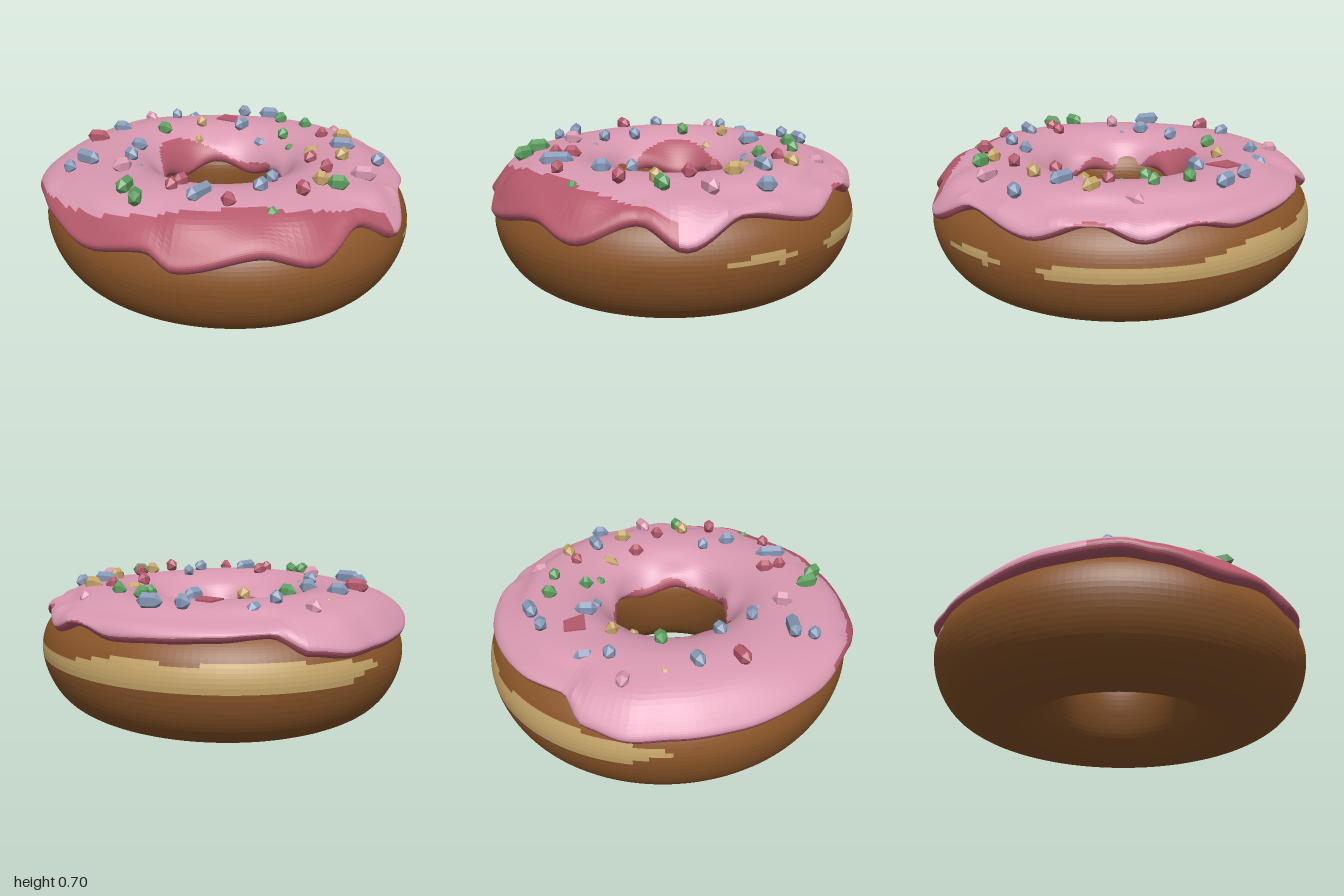
import * as THREE from 'three';

const mat = (name, color) => {
  const m = new THREE.MeshStandardMaterial({ color, side: THREE.DoubleSide });
  m.name = name;
  return m;
};
const RAD = Math.PI / 180;

// Icing rim by compass angle: [degrees, drip height, rim radius, radius where dark glaze begins]
const RIM = [
  [-180, 0.46, 0.945, 0.91], [-170, 0.49, 0.94, 0.93], [-150, 0.46, 0.955, 0.95], [-125, 0.43, 0.955, 0.96],
  [-108, 0.43, 0.97, 0.97], [-96, 0.43, 1.0, 1.0], [-85, 0.45, 0.98, 0.98], [-75, 0.52, 0.9, 0.95],
  [-60, 0.51, 0.92, 0.95], [-45, 0.5, 0.915, 0.95], [-30, 0.49, 0.915, 0.95], [-16, 0.53, 0.905, 0.95],
  [-2, 0.47, 0.915, 0.95], [12, 0.54, 0.89, 0.95], [30, 0.46, 0.93, 0.95], [52, 0.52, 0.91, 0.95],
  [69, 0.415, 1.0, 0.95], [81, 0.5, 0.925, 0.87], [98, 0.41, 0.995, 0.83], [112, 0.46, 0.955, 0.75],
  [134, 0.4, 0.975, 0.8], [143, 0.455, 0.935, 0.83], [162, 0.41, 0.955, 0.88], [180, 0.46, 0.945, 0.91],
];

function rimAt(a) {
  const d = ((a / RAD + 540) % 360) - 180;
  const i = Math.max(1, RIM.findIndex((row) => row[0] >= d));
  const p = RIM[i - 1], q = RIM[i];
  const t = THREE.MathUtils.smoothstep(d, p[0], q[0]);
  return [1, 2, 3].map((k) => p[k] + (q[k] - p[k]) * t);
}

// Sweeps a changing [radius, height] section round the ring; pick() chooses a material per face
function sweep(name, materials, section, closed, place, pick, segs = 168, steps = 64) {
  const rings = [];
  for (let i = 0; i <= segs; i++) {
    const a = ((i % segs) / segs) * 2 * Math.PI - Math.PI;
    const pts = section(a).map(([r, y]) => new THREE.Vector3(r, y, 0));
    rings.push(new THREE.CatmullRomCurve3(pts, closed, 'centripetal').getPoints(steps)
      .map((p) => ({ r: p.x, y: p.y, v: place(a, p.x, p.y) })));
  }
  const lists = materials.map(() => []);
  for (let i = 0; i < segs; i++) {
    const a = ((i + 0.5) / segs) * 2 * Math.PI - Math.PI;
    for (let j = 0; j < steps; j++) {
      const A = rings[i][j], B = rings[i + 1][j], C = rings[i + 1][j + 1], D = rings[i][j + 1];
      const r = (A.r + B.r + C.r + D.r) / 4, y = (A.y + B.y + C.y + D.y) / 4;
      lists[pick(a, r, y, j / steps)].push(...[A, B, D, B, C, D].flatMap((p) => p.v));
    }
  }
  const geo = new THREE.BufferGeometry();
  let start = 0;
  lists.forEach((list, k) => {
    geo.addGroup(start, list.length / 3, k);
    start += list.length / 3;
  });
  geo.setAttribute('position', new THREE.Float32BufferAttribute(lists.flat(), 3));
  geo.computeVertexNormals();
  const mesh = new THREE.Mesh(geo, materials);
  mesh.name = name;
  return mesh;
}

// Height of the icing surface at a radius
const CROWN = [[0.3, 0.5], [0.39, 0.585], [0.48, 0.63], [0.6, 0.645], [0.72, 0.635], [0.83, 0.595], [0.95, 0.5]];
function crown(r) {
  const i = Math.max(1, CROWN.findIndex((p) => p[0] >= r));
  const [p, q] = [CROWN[i - 1], CROWN[i]];
  return p[1] + ((q[1] - p[1]) * (r - p[0])) / (q[0] - p[0]);
}

// Sprinkles per colour: [x, z, length, heading in degrees, lift]
const SPRINKLES = {
  blue: [[-0.31, -0.6, 0.11, 45], [0.08, -0.67, 0.08, 90], [0.2, -0.68, 0.11, -30, -0.02], [0.48, -0.54, 0.09, 60],
    [0.59, -0.43, 0.13, 45], [0.33, -0.34, 0.12, -20], [-0.77, -0.2, 0.08, 60], [-0.67, -0.21, 0.16, 70],
    [-0.46, -0.15, 0.1, 80], [-0.34, -0.31, 0.1, 50], [-0.43, 0.5, 0.17, -22], [-0.16, 0.58, 0.1, -25],
    [-0.04, 0.5, 0.08, -70], [0.54, 0.31, 0.14, 50], [0.6, 0.52, 0.1, -20], [-0.47, -0.04, 0.08, 0, -0.03],
    [0.35, -0.18, 0.1, 80, -0.025]],
  green: [[-0.1, -0.48, 0.1, 60], [0.56, -0.27, 0.09, 0], [0.44, -0.08, 0.08, -20], [0.61, -0.1, 0.08, 45],
    [0.41, 0.03, 0.06, 60, -0.02], [-0.67, 0.24, 0.13, -40], [-0.68, 0.37, 0.12, -60, 0.03],
    [-0.22, 0.76, 0.08, -15, -0.01], [0.18, 0.71, 0.11, 45]],
  darkGlaze: [[-0.49, -0.51, 0.13, 45], [0.57, 0.1, 0.08, 20], [0.31, 0.34, 0.09, -20], [-0.5, 0.37, 0.08, -30],
    [-0.43, 0.33, 0.1, -15], [0.25, 0.54, 0.08, 0], [-0.02, 0.71, 0.09, 80, 0.03], [-0.36, 0.63, 0.08, 60]],
  cream: [[-0.19, -0.7, 0.08, -20, -0.025], [0.14, -0.48, 0.07, -40], [0.07, -0.39, 0.07, 30, -0.02],
    [0.42, 0.21, 0.11, 10, -0.015], [0.65, 0.18, 0.11, 50], [0.43, 0.44, 0.1, -20], [0.13, 0.65, 0.09, 45]],
  pink: [[-0.03, -0.8, 0.1, 80], [-0.58, 0.01, 0.11, -5], [0.38, 0.66, 0.13, 45], [0.74, 0, 0.11, -45, -0.01]],
};

export function createModel() {
  const mats = {
    dough: mat('dough brown', 0x8a5529),
    cream: mat('pale cream', 0xc4a468),
    pink: mat('pink icing', 0xd898b0),
    darkGlaze: mat('dark pink glaze', 0xb55a6c),
    blue: mat('sprinkle blue', 0x8598b5),
    green: mat('sprinkle green', 0x5d9f60),
  };
  const group = new THREE.Group();
  group.name = 'donut';

  // Dough ring with a pale unfried band on its outer side
  const doughProfile = [[0.32, 0.36], [0.335, 0.46], [0.42, 0.55], [0.6, 0.6], [0.76, 0.585], [0.86, 0.55], [0.93, 0.5],
    [0.975, 0.44], [1, 0.34], [0.965, 0.2], [0.885, 0.09], [0.75, 0.02], [0.6, 0.002], [0.5, 0.03], [0.405, 0.1], [0.345, 0.22]];
  group.add(sweep('dough', [mats.dough, mats.cream], () => doughProfile, true,
    (a, r, y) => [0.01 + 0.93 * r * Math.cos(a), y, 0.985 * r * Math.sin(a)],
    (a, r, y) => {
      if (r < 0.8) return 0;
      const d = a / RAD, wob = 0.006 * Math.sin(a * 9);
      const s = THREE.MathUtils.smoothstep;
      const back = 1 - s(d, -40, -5);
      const band = (0.036 + 0.026 * back) * s(d, -114, -90) * (1 - s(d, 16, 30));
      const spot = 0.024 * s(d, 36, 41) * (1 - s(d, 50, 58));
      return Math.abs(y - 0.348 - 0.025 * back - wob) < Math.max(band, spot) ? 1 : 0;
    }, 168, 80));

  // Icing with a wavy, dripping rim inside and out
  group.add(sweep('icing', [mats.pink, mats.darkGlaze], (a) => {
    const [e, R] = rimAt(a);
    const yi = 0.435 + 0.025 * Math.sin(5 * a + 1), ri = 0.3 + 0.012 * Math.sin(4 * a);
    const lump = 0.006 * Math.sin(3 * a + 1);
    return [[0.38, yi + 0.02], [ri + 0.02, yi], [ri, yi + 0.03], [ri + 0.02, yi + 0.08], [0.39, 0.585], [0.48, 0.63],
      [0.6, 0.647 + lump], [0.72, 0.635 + lump], [R * 0.88, 0.597], [R - 0.025, Math.min(e + 0.08, 0.57)],
      [R, Math.min(e + 0.035, 0.55)], [R - 0.025, e], [R - 0.1, e + 0.02]];
  }, false,
  (a, r, y) => [r * Math.cos(a), y, r * Math.sin(a)],
  (a, r, y, t) => {
    const [e, , dark] = rimAt(a);
    if (t > 0.5) return r > dark && dark < 0.94 || t > 0.7 && y < e + 0.028 ? 1 : 0;
    const back = Math.exp(-(((a / RAD + 105) / 32) ** 2));
    return r < 0.3 + 0.12 * back || y < 0.475 ? 1 : 0;
  }));

  // Dark glaze spot on the crown
  const kite = new THREE.Shape([[0, -0.09], [0.07, 0], [0.03, 0.08], [-0.06, 0.03]].map((p) => new THREE.Vector2(...p)));
  const spot = new THREE.Mesh(new THREE.ExtrudeGeometry(kite, { depth: 0.008, bevelEnabled: false }), mats.darkGlaze);
  spot.name = 'glazeSpot';
  spot.rotation.x = -Math.PI / 2;
  spot.position.set(0.32, crown(0.58) + 0.001, -0.48);
  group.add(spot);

  // Faceted sprinkles, half sunk in the icing
  for (const [colour, rows] of Object.entries(SPRINKLES)) {
    const set = new THREE.Group();
    set.name = colour + 'Sprinkles';
    for (const [x, z, len, deg, lift = 0.02] of rows) {
      const rad = 0.031;
      const geo = new THREE.CapsuleGeometry(rad, Math.max(0.015, len - 2 * rad), 1, 6)
        .rotateZ(Math.PI / 2).scale(1, 1.25, 1).toNonIndexed();
      geo.computeVertexNormals();
      const m = new THREE.Mesh(geo, mats[colour]);
      m.name = 'sprinkle';
      m.rotation.y = -deg * RAD;
      m.position.set(x, crown(Math.hypot(x, z)) + lift, z);
      set.add(m);
    }
    group.add(set);
  }
  return group;
}
